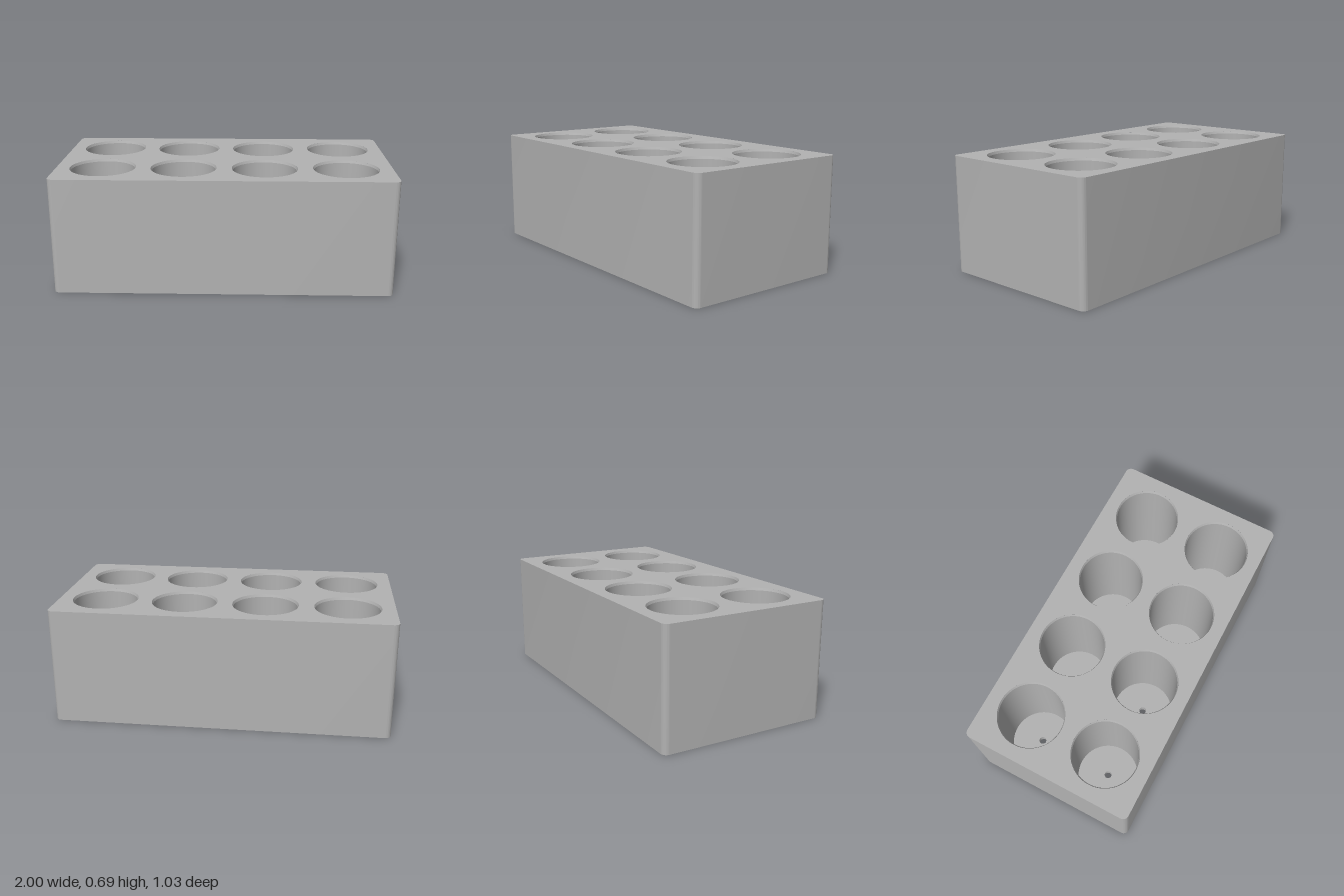
import * as THREE from 'three';
import { toCreasedNormals } from 'three/addons/utils/BufferGeometryUtils.js';

const W = 1, D = 0.517, H = 0.694, CORNER = 0.035;   // half width, half depth, height, corner radius
const RIM = 0.196, BORE = 0.19, DRAIN = 0.022;       // pocket radii
const CHAMFER = 0.015, FLOOR = 0.05, SEG = 64;

// Rounded rectangle, counter-clockwise
function outline() {
  const s = new THREE.Shape();
  const x = W - CORNER, y = D - CORNER;
  s.absarc(x, y, CORNER, 0, Math.PI / 2);
  s.absarc(-x, y, CORNER, Math.PI / 2, Math.PI);
  s.absarc(-x, -y, CORNER, Math.PI, Math.PI * 1.5);
  s.absarc(x, -y, CORNER, Math.PI * 1.5, Math.PI * 2);
  s.closePath();
  return s;
}

// Centres of the eight pockets
const centres = [];
for (const z of [-0.241, 0.241]) {
  for (let i = 0; i < 4; i++) centres.push([(i - 1.5) * 0.482, z]);
}

// Flat face pierced by eight round holes
function piercedFace(radius) {
  const s = outline();
  for (const [x, z] of centres) {
    s.holes.push(new THREE.Path().absarc(x, -z, radius, 0, Math.PI * 2, true));
  }
  return new THREE.ShapeGeometry(s, SEG);
}

// Vertical band following the outline
function wallGeometry() {
  const pts = outline().getPoints(10);
  const pos = [];
  pts.forEach((p, i) => {
    const q = pts[(i + 1) % pts.length];
    if (p.distanceTo(q) < 1e-6) return;
    pos.push(p.x, 0, -p.y, q.x, 0, -q.y, q.x, H, -q.y);
    pos.push(p.x, 0, -p.y, q.x, H, -q.y, p.x, H, -p.y);
  });
  const g = new THREE.BufferGeometry();
  g.setAttribute('position', new THREE.Float32BufferAttribute(pos, 3));
  return toCreasedNormals(g, 0.5);
}

export function createModel() {
  const group = new THREE.Group();
  group.name = 'holderBlock';
  const grey = new THREE.MeshStandardMaterial({ color: 0xb2b2b2 });
  grey.name = 'grey';

  const add = (name, geometry) => {
    const mesh = new THREE.Mesh(geometry, grey);
    mesh.name = name;
    group.add(mesh);
    return mesh;
  };

  // Outer block
  add('sideWalls', wallGeometry());
  add('topFace', piercedFace(RIM).rotateX(-Math.PI / 2).translate(0, H, 0));
  const under = piercedFace(DRAIN).rotateX(Math.PI / 2);
  add('bottomFace', under);

  // Pocket lining: chamfered rim, bore, floor and drain hole
  const profile = [
    [RIM, H], [BORE, H - CHAMFER], [BORE, FLOOR], [DRAIN, FLOOR], [DRAIN, 0],
  ].map(([r, y]) => new THREE.Vector2(r, y));
  const lining = toCreasedNormals(new THREE.LatheGeometry(profile, SEG), 0.3);
  centres.forEach(([x, z], i) => add(`pocket${i + 1}`, lining).position.set(x, 0, z));

  return group;
}
